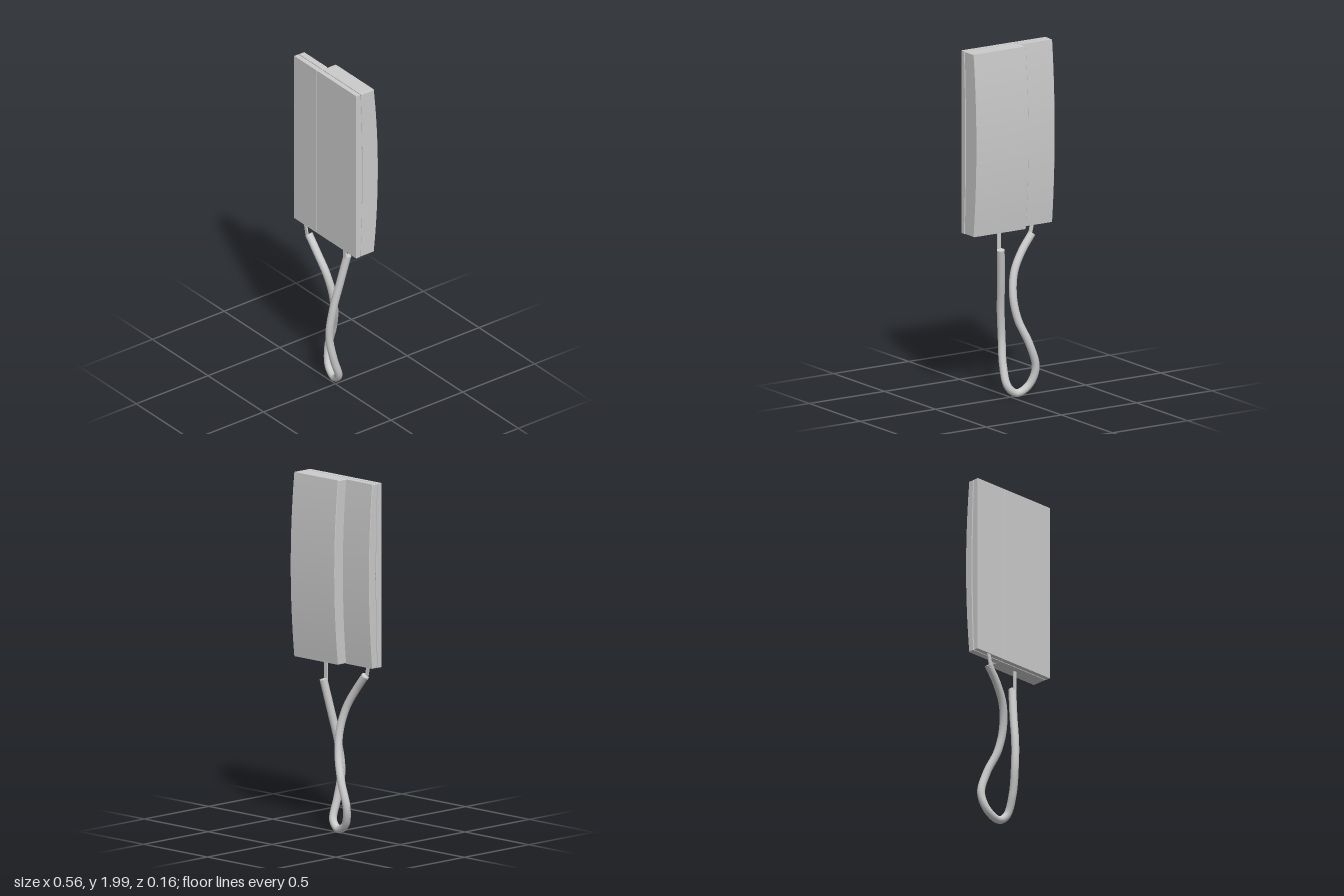
import * as THREE from 'three';
import { toCreasedNormals } from 'three/addons/utils/BufferGeometryUtils.js';

const Y0 = 0.965, Y1 = 2, YM = (Y0 + Y1) / 2;
const material = new THREE.MeshStandardMaterial({ color: 0xcccccc });

function addMesh(parent, name, geometry) {
  const mesh = new THREE.Mesh(geometry, material);
  mesh.name = name;
  parent.add(mesh);
  return mesh;
}

// Slab between two bowed faces, drawn in side view and extruded from x0 to x1.
// Each face is [z at the ends, z at the middle].
function bowedSlab(x0, x1, front, back, bevel = 0.003, inset = 0) {
  const b = bevel, lo = Y0 + b + inset, hi = Y1 - b - inset;
  const [fe, fm] = front.map(z => z - b);
  const [be, bm] = back.map(z => z + b);
  const shape = new THREE.Shape();
  shape.moveTo(be, lo);
  shape.lineTo(fe, lo);
  shape.quadraticCurveTo(2 * fm - fe, YM, fe, hi);
  shape.lineTo(be, hi);
  shape.quadraticCurveTo(2 * bm - be, YM, be, lo);
  const geometry = new THREE.ExtrudeGeometry(shape, {
    depth: x1 - x0 - 2 * b, curveSegments: 20,
    bevelEnabled: b > 0, bevelSize: b, bevelThickness: b, bevelSegments: 1,
  });
  geometry.rotateY(-Math.PI / 2);
  geometry.translate(x1 - b, 0, 0);
  return toCreasedNormals(geometry, 0.5);
}

export function createModel() {
  const model = new THREE.Group();
  model.name = 'wallHandset';

  // Flat front plates, bowed rear covers and the recessed cores in their seams
  const halves = [
    { name: 'narrow', x0: -0.28, x1: -0.077, coverX: [-0.28, -0.07], back: [0.002, -0.023] },
    { name: 'wide', x0: -0.074, x1: 0.28, coverX: [-0.067, 0.28], back: [-0.053, -0.081] },
  ];
  for (const { name, x0, x1, coverX, back } of halves) {
    addMesh(model, name + 'FrontPlate', bowedSlab(x0, x1, [0.071, 0.071], [0.043, 0.031], 0.001));
    addMesh(model, name + 'Cover', bowedSlab(...coverX, [0.038, 0.026], back));
  }
  addMesh(model, 'seamCore', bowedSlab(-0.275, 0.275, [0.06, 0.06], [0.015, 0.005], 0, 0.005));

  // Flat metal tabs joining the cord to the housing
  const tab = (name, x, y, z, length, tilt) => {
    const mesh = addMesh(model, name, new THREE.BoxGeometry(0.022, length, 0.007));
    mesh.position.set(x, y, z);
    mesh.rotation.z = tilt;
  };
  tab('narrowSideTab', -0.179, 0.93, 0.063, 0.1, 0.22);
  tab('wideSideTab', 0.08, 0.91, -0.003, 0.13, 0);

  // Looped, twisted cord
  const path = new THREE.CatmullRomCurve3([
    [-0.175, 0.905, 0.05], [-0.105, 0.815, 0.045], [-0.045, 0.71, 0.03],
    [-0.02, 0.58, 0.005], [-0.035, 0.45, -0.02], [-0.09, 0.31, -0.052],
    [-0.132, 0.17, -0.052], [-0.1, 0.07, -0.03], [-0.03, 0.032, -0.016],
    [0.022, 0.075, -0.005], [0.028, 0.19, 0.033], [0.02, 0.34, 0.058],
    [0.034, 0.5, 0.047], [0.055, 0.68, 0.012], [0.08, 0.86, -0.022],
  ].map(p => new THREE.Vector3(...p)));
  const radius = 0.022;
  addMesh(model, 'cord', new THREE.TubeGeometry(path, 120, radius, 16));

  // Cord end caps
  for (const [name, t, sign] of [['narrowSideCordEnd', 0, -1], ['wideSideCordEnd', 1, 1]]) {
    const cap = addMesh(model, name, new THREE.CircleGeometry(radius, 16));
    cap.position.copy(path.getPointAt(t));
    cap.quaternion.setFromUnitVectors(
      new THREE.Vector3(0, 0, 1), path.getTangentAt(t).multiplyScalar(sign));
  }
  return model;
}
